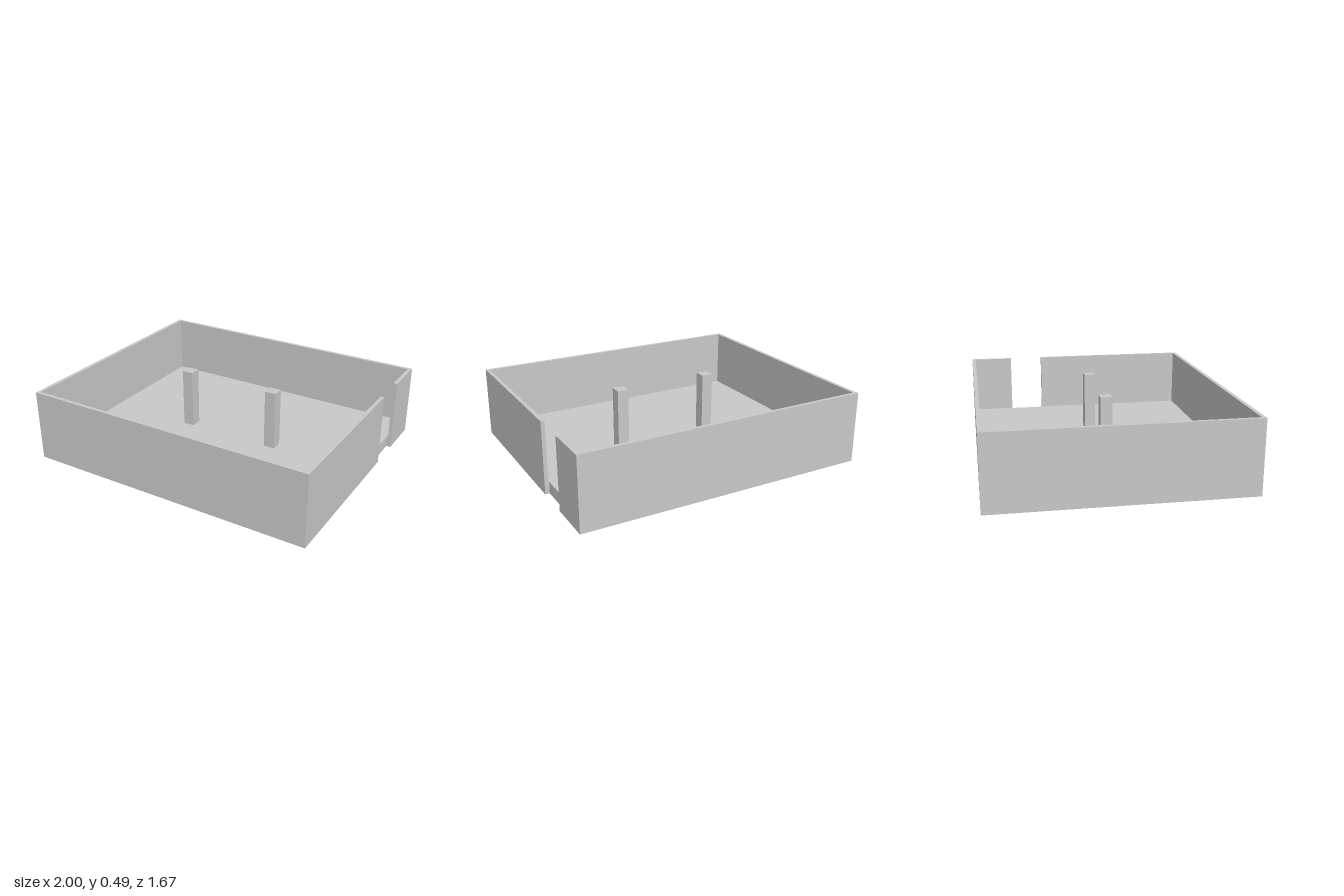
import * as THREE from 'three';

const W = 1, D = 0.837, H = 0.49;      // half width, half depth, height
const WALL = 0.025, FLOOR = 0.08;      // wall and floor thickness
const GAP_BACK = -0.532, GAP_FRONT = -0.29, GAP_X = 0.97; // doorway in the left wall

// Extrude a plan outline of [x, z] points from y0 up to y1
function slab(name, points, y0, y1, material) {
  const shape = new THREE.Shape(points.map(([x, z]) => new THREE.Vector2(x, -z)));
  const geometry = new THREE.ExtrudeGeometry(shape, { depth: y1 - y0, bevelEnabled: false });
  geometry.rotateX(-Math.PI / 2).translate(0, y0, 0);
  const mesh = new THREE.Mesh(geometry, material);
  mesh.name = name;
  return mesh;
}

export function createModel() {
  const model = new THREE.Group();
  model.name = 'openTray';
  const grey = new THREE.MeshStandardMaterial({ color: 0xc8c8c8 });
  grey.name = 'lightGrey';

  // Floor plate, notched at the doorway
  model.add(slab('floor', [
    [-W, D], [W, D], [W, GAP_FRONT], [GAP_X, GAP_FRONT],
    [GAP_X, GAP_BACK], [W, GAP_BACK], [W, -D], [-W, -D],
  ], 0, FLOOR, grey));

  // One continuous wall, running round from one side of the doorway to the other
  const w = W - WALL, d = D - WALL;
  model.add(slab('walls', [
    [W, GAP_FRONT], [W, D], [-W, D], [-W, -D], [W, -D], [W, GAP_BACK],
    [w, GAP_BACK], [w, -d], [-w, -d], [-w, d], [w, d], [w, GAP_FRONT],
  ], FLOOR, H, grey));

  // Two square posts on the centre line
  for (const side of [-1, 1]) {
    const post = new THREE.Mesh(new THREE.BoxGeometry(0.078, H - FLOOR, 0.078), grey);
    post.position.set(side * 0.33, (H + FLOOR) / 2, 0);
    post.name = side > 0 ? 'leftPost' : 'rightPost';
    model.add(post);
  }
  return model;
}
